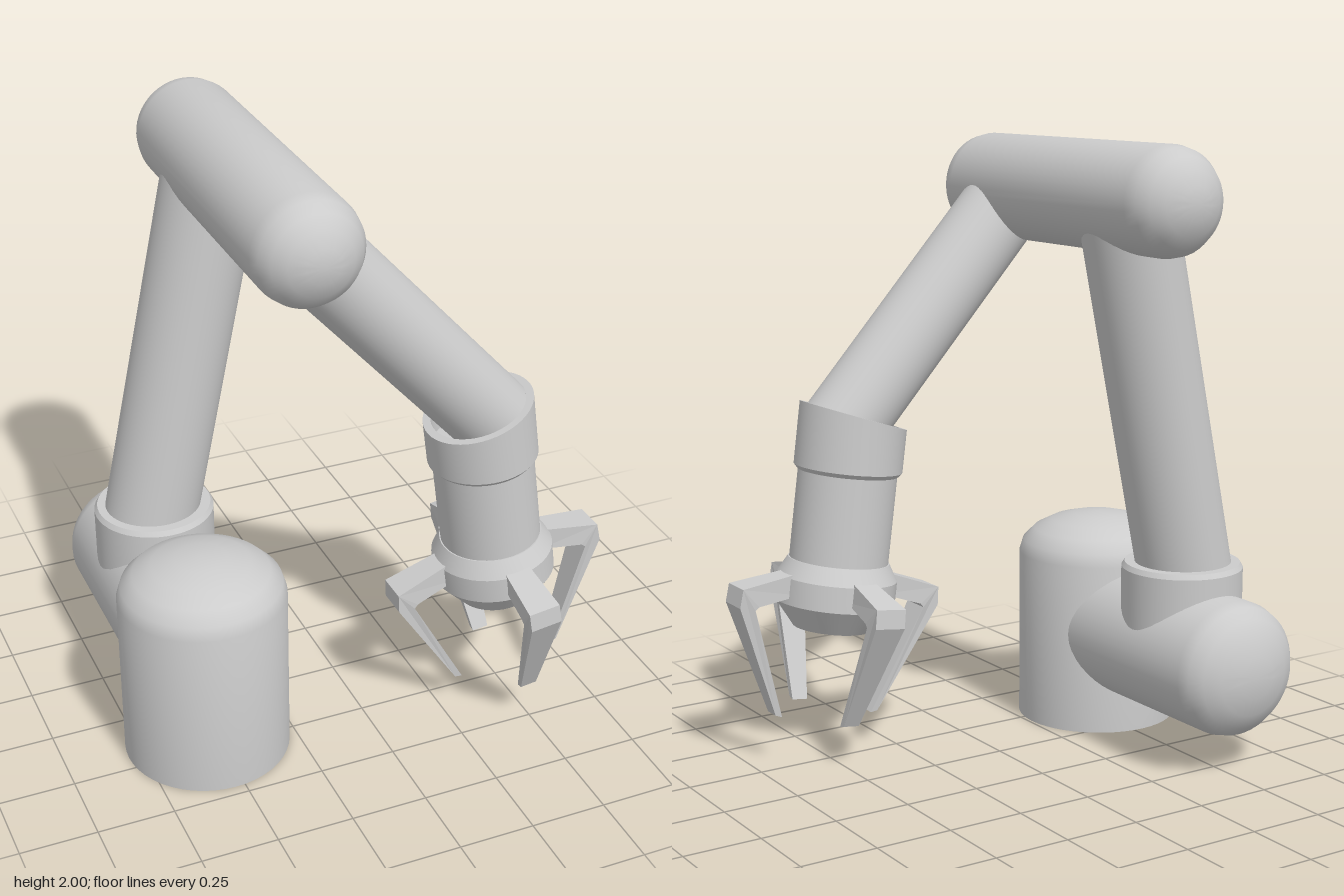
import * as THREE from 'three';
import { toCreasedNormals } from 'three/addons/utils/BufferGeometryUtils.js';

const material = new THREE.MeshStandardMaterial({ color: 0xcccccc });

function addMesh(parent, name, geometry) {
  const mesh = new THREE.Mesh(geometry, material);
  mesh.name = name;
  parent.add(mesh);
  return mesh;
}

// Turned part from [radius, height] pairs listed along its outside, bottom to top
function turned(points, crease = 0.5) {
  const profile = points.map(([r, y]) => new THREE.Vector2(r, y));
  return toCreasedNormals(new THREE.LatheGeometry(profile, 48), crease);
}

// Quarter-ellipse cap running from the wall to the axis
function dome(r, y, h, steps = 5) {
  const points = [];
  for (let i = 0; i <= steps; i++) {
    const a = (i / steps) * Math.PI / 2;
    points.push([i === steps ? 0 : r * Math.cos(a), y + h * Math.sin(a)]);
  }
  return points;
}

// Straight round tube between two points
function rod(parent, name, from, to, r) {
  const a = new THREE.Vector3(...from), b = new THREE.Vector3(...to);
  const dir = b.clone().sub(a);
  const mesh = addMesh(parent, name, new THREE.CylinderGeometry(r, r, dir.length(), 48));
  mesh.position.copy(a).add(b).multiplyScalar(0.5);
  mesh.quaternion.setFromUnitVectors(new THREE.Vector3(0, 1, 0), dir.normalize());
}

// Bent finger: extruded side outline whose width varies along its length
function fingerGeometry() {
  const outline = [
    [0.15, -0.40], [0.30, -0.433], [0.312, -0.445], [0.166, -0.806],
    [0.19, -0.8], [0.367, -0.437], [0.362, -0.376], [0.15, -0.325],
  ].map(([x, y]) => new THREE.Vector2(x, y));
  const geometry = new THREE.ExtrudeGeometry(new THREE.Shape(outline), { depth: 1, bevelEnabled: false });
  const p = geometry.attributes.position;
  for (let i = 0; i < p.count; i++) {
    const width = p.getY(i) < -0.6 ? 0.055 : p.getX(i) < 0.2 ? 0.08 : 0.105;
    p.setZ(i, (p.getZ(i) - 0.5) * width);
  }
  geometry.computeVertexNormals();
  return geometry;
}

// Wrist sleeve: open cup with a slanted rim
function sleeveGeometry() {
  const profile = [
    [0, 0], [0.165, 0], [0.177, 0.014], [0.177, 0.186], [0.152, 0.186], [0.152, 0.07], [0, 0.07],
  ].map(([r, y]) => new THREE.Vector2(r, y));
  const geometry = new THREE.LatheGeometry(profile, 48);
  const p = geometry.attributes.position;
  for (let i = 0; i < p.count; i++) {
    if (p.getY(i) > 0.1) p.setY(i, p.getY(i) + 0.2 * p.getX(i));
  }
  return toCreasedNormals(geometry, 0.5);
}

export function createModel() {
  const model = new THREE.Group();
  model.name = 'roboticArm';

  // Domed base
  const base = addMesh(model, 'base', turned([[0, 0], [0.27, 0], ...dome(0.27, 0.575, 0.138)], 0.95));
  base.position.set(-0.53, 0, 0.195);

  // Horizontal shoulder, rounded at the back and sunk into the base
  const shoulder = addMesh(model, 'shoulder', turned([[0, 0], [0.22, 0], ...dome(0.22, 0.65, 0.13)], 0.95));
  shoulder.rotation.x = -Math.PI / 2;
  shoulder.position.set(-0.525, 0.34, 0.1);

  // Collar and upper arm
  const collar = addMesh(model, 'shoulderCollar',
    turned([[0, 0.36], [0.198, 0.36], [0.198, 0.622], [0.188, 0.638], [0, 0.638]]));
  collar.position.set(-0.525, 0, -0.285);
  rod(model, 'upperArm', [-0.557, 0.5, -0.285], [-0.275, 1.83, -0.285], 0.155);

  // Elbow drum, rounded at both ends
  const end = dome(0.172, 0.485, 0.14);
  const elbow = addMesh(model, 'elbow',
    turned([...end.map(([r, y]) => [r, -y]).reverse(), ...end], 0.95));
  elbow.rotation.x = Math.PI / 2;
  elbow.position.set(-0.275, 1.828, -0.025);

  // Forearm
  rod(model, 'forearm', [-0.275, 1.828, 0.322], [0.41, 1.07, 0.322], 0.134);

  // Tilted wrist with hand and fingers
  const wrist = new THREE.Group();
  wrist.name = 'wrist';
  wrist.position.set(0.38, 0.931, 0.322);
  wrist.rotation.z = THREE.MathUtils.degToRad(7.5);
  model.add(wrist);
  addMesh(wrist, 'wristSleeve', sleeveGeometry());
  addMesh(wrist, 'wristTube', turned([[0, -0.32], [0.162, -0.32], [0.162, 0.01], [0, 0.01]]));
  addMesh(wrist, 'hand', turned([
    [0, -0.515], [0.13, -0.515], [0.197, -0.43], [0.197, -0.345], [0.166, -0.29], [0, -0.29],
  ]));
  const geometry = fingerGeometry();
  for (let i = 0; i < 4; i++) {
    addMesh(wrist, 'finger' + (i + 1), geometry).rotation.y = i * Math.PI / 2;
  }

  return model;
}
